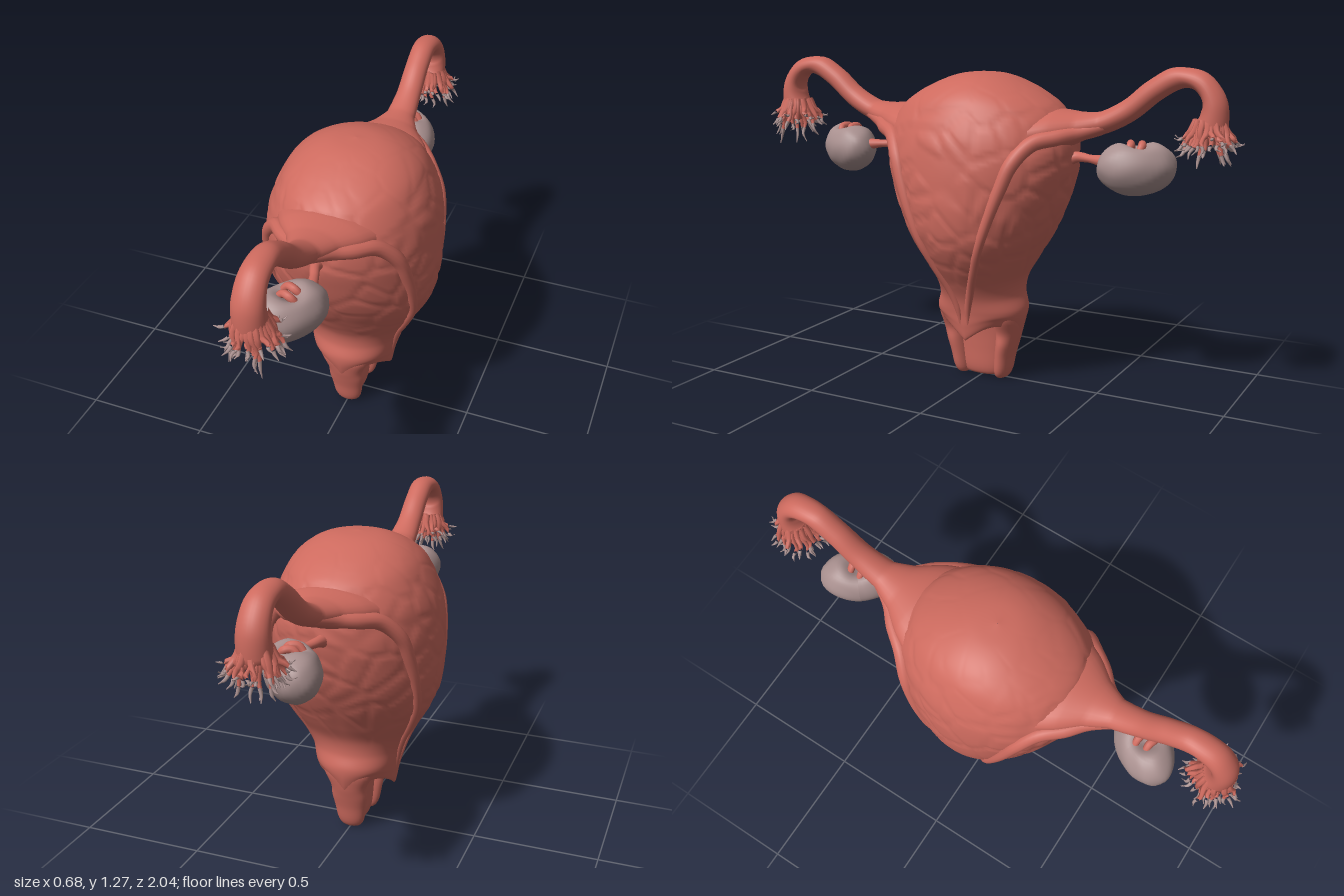
import * as THREE from 'three';
import { mergeGeometries } from 'three/addons/utils/BufferGeometryUtils.js';

const V = (x, y, z) => new THREE.Vector3(x, y, z);
let seed = 7;
const rnd = () => (seed = (seed * 16807) % 2147483647) / 2147483647;

// Smooth closed-ring surface: fn(t along, angle) gives a point
function grid(fn, rows, sides) {
  const pos = [], idx = [];
  for (let i = 0; i <= rows; i++) {
    for (let j = 0; j < sides; j++) pos.push(...fn(i / rows, (j / sides) * Math.PI * 2).toArray());
  }
  for (let i = 0; i < rows; i++) {
    for (let j = 0; j < sides; j++) {
      const a = i * sides + j, b = i * sides + (j + 1) % sides;
      idx.push(a, b, a + sides, b, b + sides, a + sides);
    }
  }
  const g = new THREE.BufferGeometry();
  g.setAttribute('position', new THREE.Float32BufferAttribute(pos, 3));
  g.setIndex(idx);
  g.computeVertexNormals();
  return g;
}

// Interpolate a list of numbers evenly spaced over t = 0..1
function lerpList(list, t) {
  const f = Math.min(t, 0.99999) * (list.length - 1), i = Math.floor(f);
  return list[i] + (list[i + 1] - list[i]) * (f - i);
}

// Tube with changing oval radius along a path, optionally only part of it
function sweep(points, r1, r2, rows, sides, from = 0, to = 1) {
  const curve = new THREE.CatmullRomCurve3(points);
  const frames = curve.computeFrenetFrames(rows);
  return grid((t, a) => {
    const i = Math.round(t * rows);
    const u = from + (to - from) * t;
    return curve.getPoint(u)
      .addScaledVector(frames.normals[i], Math.cos(a) * lerpList(r1, u))
      .addScaledVector(frames.binormals[i], Math.sin(a) * lerpList(r2, u));
  }, rows, sides);
}

// Upright loft of ellipses: rows of [y, half x, half z, centre z]
function loft(rows, steps, sides) {
  const size = new THREE.CatmullRomCurve3(rows.map(([y, hx, hz]) => V(hx, y, hz)));
  const mid = rows.map((r) => r[3] || 0);
  return grid((t, a) => {
    const p = size.getPoint(t);
    return V(Math.sin(a) * Math.max(p.x, 0), p.y, Math.cos(a) * Math.max(p.z, 0) + lerpList(mid, t));
  }, steps, sides);
}

// Body profile, from the inner lip up to the dome: [y, half x, half z]
const BODY = [
  [0.27, 0.09, 0.09], [0.21, 0.13, 0.13], [0.185, 0.155, 0.155], [0.24, 0.168, 0.178], [0.3, 0.175, 0.185],
  [0.36, 0.19, 0.168], [0.42, 0.22, 0.175], [0.5, 0.27, 0.22], [0.6, 0.32, 0.28], [0.7, 0.338, 0.33],
  [0.8, 0.34, 0.365], [0.9, 0.333, 0.39], [1.0, 0.313, 0.385], [1.1, 0.268, 0.33], [1.15, 0.235, 0.265],
  [1.2, 0.17, 0.165], [1.225, 0.1, 0.09], [1.235, 0.001, 0.001],
];

// Half width of the body at a height and depth
function bodyX(y, z) {
  let i = 3;
  while (BODY[i + 1][0] < y) i++;
  const [a, b] = [BODY[i], BODY[i + 1]], k = (y - a[0]) / (b[0] - a[0]);
  const hx = a[1] + (b[1] - a[1]) * k, hz = a[2] + (b[2] - a[2]) * k;
  return hx * Math.sqrt(Math.max(0, 1 - (z / hz) ** 2));
}

function bodyGeometry() {
  const g = loft(BODY, 120, 144), pos = g.attributes.position, p = V();
  // Cell centres whose borders become shallow creases
  const cells = [];
  for (let i = 0; i < 150; i++) {
    const y = 0.4 + rnd() * 0.83, a = rnd() * Math.PI * 2;
    const x = bodyX(y, 0), z = x * 1.08;
    cells.push(V(Math.sin(a) * x, y, Math.cos(a) * z));
  }
  for (let i = 0; i < pos.count; i++) {
    p.fromBufferAttribute(pos, i);
    let d1 = 9, d2 = 9;
    for (const c of cells) {
      const d = c.distanceTo(p);
      if (d < d1) { d2 = d1; d1 = d; } else if (d < d2) d2 = d;
    }
    const groove = 1 - THREE.MathUtils.smoothstep(d2 - d1, 0, 0.025);
    const fade = THREE.MathUtils.smoothstep(p.y, 0.38, 0.55) * (p.y > 1.1 ? 0.5 : 1);
    const k = 1 - 0.016 * groove * fade;
    // Scalloped lower rim, lifted between the side flaps and the lips
    const lift = 0.06 * Math.abs(Math.sin(2 * Math.atan2(p.x, p.z))) * (1 - THREE.MathUtils.smoothstep(p.y, 0.18, 0.32));
    pos.setXYZ(i, p.x * k, p.y + lift, p.z * k);
  }
  g.computeVertexNormals();
  return g;
}

function ovaryGeometry() {
  const g = new THREE.SphereGeometry(1, 40, 28), pos = g.attributes.position;
  for (let i = 0; i < pos.count; i++) {
    const x = pos.getX(i), y = pos.getY(i), z = pos.getZ(i);
    const dent = y > 0 ? 0.05 * Math.exp(-((x / 0.5) ** 2 + (z / 0.28) ** 2)) : 0;
    const bump = 1 + 0.015 * Math.sin(7 * x + 3 * z) * Math.sin(6 * y + 4 * z);
    pos.setXYZ(i, x * 0.1 * bump, y * 0.105 * bump - dent, z * 0.15 * bump);
  }
  g.computeVertexNormals();
  return g;
}

export function createModel() {
  const model = new THREE.Group();
  const red = new THREE.MeshStandardMaterial({ color: 0xcd6a5e });
  red.name = 'tissue red';
  const grey = new THREE.MeshStandardMaterial({ color: 0xa88f8e });
  grey.name = 'ovary grey';
  const add = (name, geometry, material) => {
    const m = new THREE.Mesh(geometry, material);
    m.name = name;
    model.add(m);
    return m;
  };

  add('body', bodyGeometry(), red);

  // Recessed core of the neck between the two lips
  add('neckCore', loft([
    [0.012, 0.001, 0.001], [0.014, 0.035, 0.08], [0.04, 0.045, 0.095], [0.12, 0.052, 0.108], [0.2, 0.06, 0.115], [0.32, 0.08, 0.12],
  ], 24, 32), red);

  for (const s of [1, -1]) {
    const end = s > 0 ? 'front' : 'back';

    // Lip of the neck
    add(end + 'NeckLip', loft([
      [0.004, 0.001, 0.001, 0.085 * s], [0.006, 0.035, 0.022, 0.085 * s], [0.03, 0.053, 0.033, 0.09 * s],
      [0.1, 0.066, 0.038, 0.1 * s], [0.15, 0.074, 0.042, 0.11 * s], [0.2, 0.075, 0.048, 0.118 * s],
      [0.27, 0.105, 0.055, 0.122 * s], [0.34, 0.11, 0.04, 0.115 * s],
    ], 32, 32), red);

    // Horn of the body running out into the curved tube
    const tubePath = [[1.0, 0.2], [1.03, 0.34], [1.043, 0.42], [1.06, 0.5], [1.11, 0.6], [1.19, 0.7],
      [1.235, 0.79], [1.21, 0.875], [1.14, 0.912], [1.06, 0.905], [1.0, 0.895]].map(([y, z]) => V(0, y, z * s));
    add(end + 'Tube', sweep(tubePath,
      [0.24, 0.165, 0.1, 0.06, 0.05, 0.047, 0.047, 0.052, 0.058, 0.062, 0.005],
      [0.09, 0.075, 0.053, 0.042, 0.042, 0.042, 0.042, 0.045, 0.05, 0.06, 0.005], 70, 28), red);

    // Fringe at the tube mouth: red strands with grey tips
    const bases = [], tips = [];
    for (let i = 0; i < 46; i++) {
      const a = i * 2.4, c = Math.cos(a), d = Math.sin(a);
      const r0 = 0.02 + 0.035 * rnd(), out = 0.035 + 0.075 * rnd();
      const drop = 0.19 - out * 1.1 - 0.06 * rnd(), curl = (rnd() - 0.5) * 0.04;
      const at = (r, y, w) => V(c * r - d * w, y, (0.9 + d * r * 0.95 + c * w) * s);
      const path = [
        at(r0, 1.09, 0), at(r0 + 0.02, 1.05, 0), at(r0 + out * 0.45, 1.05 - drop * 0.45, curl),
        at(Math.min(r0 + out * 0.75, 0.11), 1.05 - drop * 0.8, curl * 0.3), at(Math.min(r0 + out, 0.128), 1.05 - drop + (rnd() - 0.3) * 0.03, curl),
      ];
      const rad = [0.013, 0.012, 0.009, 0.006, 0.0015];
      bases.push(sweep(path, rad, rad, 6, 6, 0, 0.62));
      tips.push(sweep(path, rad, rad, 6, 6, 0.62, 1));
    }
    add(end + 'Fringe', mergeGeometries(bases), red);
    add(end + 'FringeTips', mergeGeometries(tips), grey);

    // Ovary with its stalk and the small folds in its notch
    const ovary = add(end + 'Ovary', ovaryGeometry(), grey);
    ovary.position.set(0, 0.903, 0.635 * s);
    ovary.rotation.y = -0.63 * s;
    add(end + 'OvaryStalk', sweep([V(0, 0.91, 0.34 * s), V(0, 0.925, 0.4 * s), V(0.02, 0.925, 0.46 * s), V(0.04, 0.92, 0.54 * s)],
      [0.035, 0.02, 0.017, 0.025], [0.035, 0.02, 0.015, 0.025], 16, 14), red);
    for (const k of [-1, 1]) {
      const z = 0.628 + k * 0.022;
      add(end + 'OvaryFold', sweep([V(-0.04, 0.955, z * s), V(-0.01, 0.987, z * s), V(0.02, 0.985, (z + 0.01) * s), V(0.045, 0.95, z * s)],
        [0.012, 0.015, 0.015, 0.012], [0.012, 0.015, 0.015, 0.012], 12, 10), red);
    }

    // Ligament ridges running from the horn down each flank
    for (const sx of [1, -1]) {
      const flank = [[0.99, 0.3], [0.92, 0.245], [0.83, 0.21], [0.72, 0.17], [0.6, 0.125], [0.5, 0.085], [0.4, 0.045], [0.32, 0.022], [0.25, 0.015]];
      const path = [V(0.02 * sx, 1.055, 0.53 * s), V(0.075 * sx, 1.025, 0.43 * s), V(0.135 * sx, 1.01, 0.37 * s),
        ...flank.map(([y, z]) => V((bodyX(y, z) - 0.006) * sx, y, z * s))];
      const rad = [0.02, 0.027, 0.03, 0.03, 0.029, 0.026, 0.021, 0.018, 0.017, 0.016, 0.014, 0.005];
      add((sx > 0 ? 'left' : 'right') + (s > 0 ? 'Front' : 'Back') + 'Ligament', sweep(path, rad, rad, 60, 14), red);
    }
  }
  return model;
}
